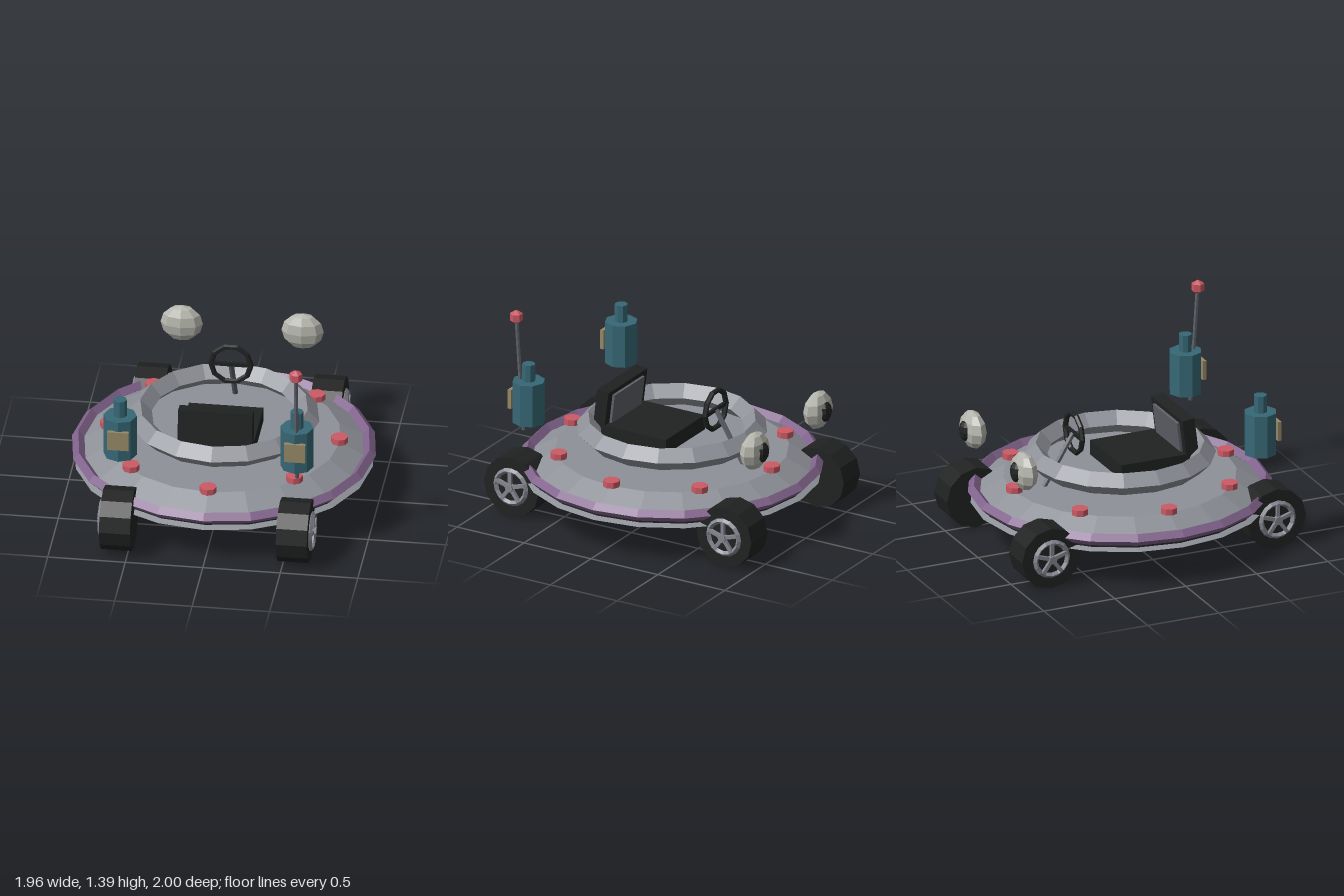
import * as THREE from 'three';

export function createModel() {
  const model = new THREE.Group();
  model.name = 'saucerBuggy';

  const mat = (name, color) => {
    const m = new THREE.MeshStandardMaterial({ color, flatShading: true });
    m.name = name;
    return m;
  };
  const grey = mat('hullGrey', 0x8e9198);
  const steel = mat('steelGrey', 0x5d6068);
  const dark = mat('undersideGrey', 0x3b3e43);
  const black = mat('black', 0x202121);
  const purple = mat('purple', 0x81638c);
  const red = mat('red', 0xcb5964);
  const teal = mat('teal', 0x376876);
  const tan = mat('tan', 0x958866);
  const white = mat('offWhite', 0xb4b5ac);
  const rimGrey = mat('rimGrey', 0x84858f);

  const add = (name, geo, material, x = 0, y = 0, z = 0, parent = model) => {
    const m = new THREE.Mesh(geo, material);
    m.name = name;
    m.position.set(x, y, z);
    parent.add(m);
    return m;
  };
  // Profile points run from the bottom upwards
  const lathe = (name, pts, material) => {
    const m = add(name, new THREE.LatheGeometry(pts.map(p => new THREE.Vector2(...p)), 20), material);
    return m;
  };
  const ring = (name, r, tube, sides, material, y) => {
    const g = new THREE.TorusGeometry(r, tube, 4, sides);
    g.rotateX(Math.PI / 2);
    return add(name, g, material, 0, y, 0);
  };
  const rod = (name, a, b, r, material) => {
    const from = new THREE.Vector3(...a), to = new THREE.Vector3(...b);
    const dir = to.clone().sub(from);
    const m = add(name, new THREE.CylinderGeometry(r, r, dir.length(), 6), material);
    m.position.copy(from).add(to).multiplyScalar(0.5);
    m.quaternion.setFromUnitVectors(new THREE.Vector3(0, 1, 0), dir.normalize());
    return m;
  };

  // Saucer hull: dark belly, grey lip, dark groove, grey deck
  lathe('belly', [[0, 0.185], [0.7, 0.185], [0.87, 0.235]], dark);
  lathe('lowerLip', [[0.87, 0.235], [0.962, 0.255], [0.92, 0.27]], grey);
  lathe('groove', [[0.92, 0.27], [0.92, 0.285]], black);
  lathe('deck', [[0.92, 0.285], [0.95, 0.3], [0.75, 0.415], [0, 0.415]], grey);
  ring('bumperRing', 0.94, 0.04, 20, purple, 0.33);
  ring('cockpitRing', 0.54, 0.075, 16, grey, 0.555);

  // Deck lights
  for (let i = 0; i < 8; i++) {
    const a = i * Math.PI / 4;
    add('deckLight', new THREE.CylinderGeometry(0.055, 0.055, 0.04, 8), red,
      0.745 * Math.sin(a), 0.435, 0.745 * Math.cos(a));
  }

  // Wheels, with the rim on the outer side
  for (const sx of [1, -1]) for (const sz of [1, -1]) {
    const wheel = new THREE.Group();
    wheel.name = 'wheel';
    wheel.position.set(sx * 0.57, 0.205, sz * 0.795);
    wheel.rotation.y = sx > 0 ? 0 : Math.PI;
    model.add(wheel);
    const tyre = new THREE.CylinderGeometry(0.205, 0.205, 0.2, 12);
    tyre.rotateZ(Math.PI / 2);
    add('tyre', tyre, black, 0, 0, 0, wheel);
    const rim = new THREE.TorusGeometry(0.112, 0.018, 4, 16);
    rim.rotateY(Math.PI / 2);
    add('rim', rim, rimGrey, 0.105, 0, 0, wheel);
    for (let i = 0; i < 5; i++) {
      const spoke = new THREE.BoxGeometry(0.022, 0.11, 0.024);
      spoke.translate(0, 0.055, 0);
      add('spoke', spoke, rimGrey, 0.113, 0, 0, wheel).rotation.x = i * Math.PI * 2 / 5;
    }
    const hub = new THREE.CylinderGeometry(0.028, 0.028, 0.04, 8);
    hub.rotateZ(Math.PI / 2);
    add('hub', hub, rimGrey, 0.115, 0, 0, wheel);
  }

  for (const s of [1, -1]) {
    // Canisters with a label plate
    add('canister', new THREE.CylinderGeometry(0.107, 0.107, 0.285, 8), teal, s * 0.57, 0.782, 0.725);
    add('canisterNeck', new THREE.CylinderGeometry(0.043, 0.043, 0.115, 8), teal, s * 0.57, 0.982, 0.725);
    add('canisterPlate', new THREE.BoxGeometry(0.138, 0.13, 0.025), tan, s * 0.57, 0.793, 0.829);

    // Headlamps facing backwards along the driving direction
    const lamp = new THREE.SphereGeometry(1, 8, 6);
    lamp.scale(0.137, 0.125, 0.075);
    add('headlamp', lamp, white, s * 0.39, 0.718, -0.855);
    const lens = new THREE.SphereGeometry(1, 8, 6);
    lens.scale(0.053, 0.07, 0.04);
    add('headlampLens', lens, black, s * 0.387, 0.718, -0.91);
  }

  // Antenna
  rod('antennaRod', [0.575, 0.575, 0.762], [0.575, 1.33, 0.813], 0.014, steel);
  add('antennaTip', new THREE.SphereGeometry(0.048, 6, 3), red, 0.575, 1.347, 0.815);

  // Seat
  add('seatCushion', new THREE.BoxGeometry(0.48, 0.1, 0.52), black, 0, 0.52, 0.16);
  const back = new THREE.Group();
  back.name = 'seatBack';
  back.position.set(0, 0.65, 0.39);
  back.rotation.x = -0.12;
  model.add(back);
  add('backrest', new THREE.BoxGeometry(0.48, 0.31, 0.085), black, 0, 0, 0, back);
  add('backrestPanel', new THREE.BoxGeometry(0.37, 0.21, 0.02), steel, 0, 0.02, -0.05, back);

  // Steering wheel and column
  add('steeringWheel', new THREE.TorusGeometry(0.13, 0.018, 6, 10), black, 0, 0.745, -0.325);
  rod('steeringColumn', [0, 0.745, -0.33], [0, 0.41, -0.535], 0.018, steel);
  add('steeringCrossbar', new THREE.BoxGeometry(0.25, 0.025, 0.02), black, 0, 0.745, -0.325);

  return model;
}
